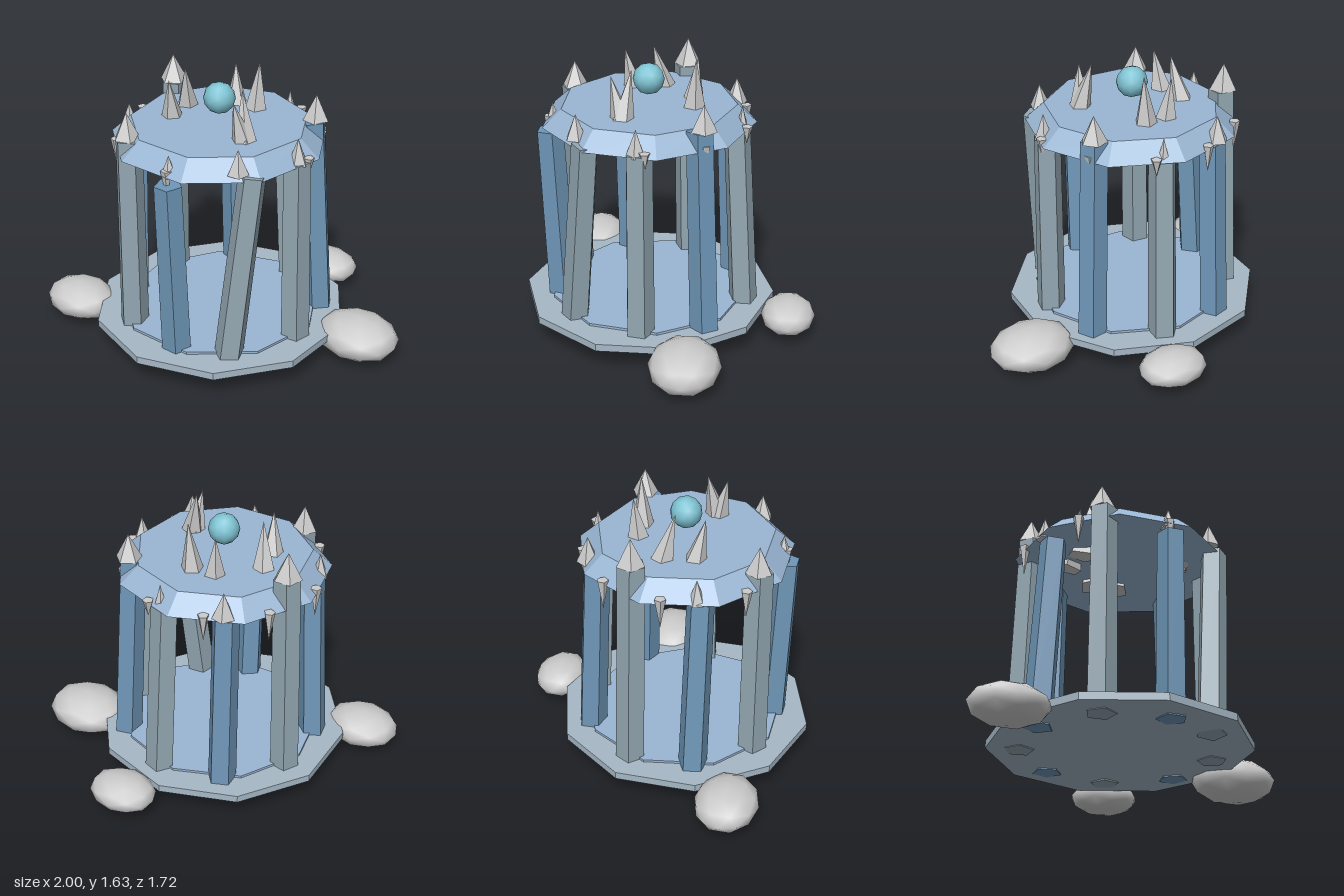
import * as THREE from 'three';

const CX = -0.04, CZ = 0.12; // axis of the pavilion
const V = (x, y, z) => new THREE.Vector3(x, y, z);
const flat = (color, more = {}) => new THREE.MeshStandardMaterial({ color, flatShading: true, ...more });

export function createModel() {
  const group = new THREE.Group();
  const grey = flat(0xcccccc);
  const blue = flat(0x6f97b8);
  const slate = flat(0x93a7b2);
  const stone = flat(0xa6b8c6);
  const ice = flat(0x9ab6d3);

  function add(name, geometry, material, x, y, z) {
    const mesh = new THREE.Mesh(geometry, material);
    mesh.name = name;
    mesh.position.set(x, y, z);
    group.add(mesh);
    return mesh;
  }

  // tapered prism running from one point to another
  function strut(name, from, to, r0, r1, sides, material, spin = 0) {
    const dir = to.clone().sub(from);
    const geo = r1 === 0
      ? new THREE.ConeGeometry(r0, dir.length(), sides)
      : new THREE.CylinderGeometry(r1, r0, dir.length(), sides);
    geo.rotateY(spin);
    const mid = from.clone().add(to).multiplyScalar(0.5);
    const mesh = add(name, geo, material, mid.x, mid.y, mid.z);
    mesh.quaternion.setFromUnitVectors(V(0, 1, 0), dir.normalize());
  }

  // base slab, raised floor and bevelled roof
  add('baseSlab', new THREE.CylinderGeometry(0.735, 0.735, 0.043, 10), stone, CX, 0.151, CZ);
  add('floor', new THREE.CylinderGeometry(0.58, 0.58, 0.02, 9).rotateY(Math.PI), ice, CX, 0.177, CZ);
  add('roof', new THREE.CylinderGeometry(0.5, 0.61, 0.1, 9).rotateY(Math.PI), ice, CX, 1.3, CZ);

  // leaning pillars: bottom x, z, top x, z, top height, material
  const pillars = [
    [0.06, 0.63, 0.06, 0.67, 1.2, blue],
    [0.33, 0.51, 0.42, 0.41, 1.27, slate],
    [0.5, 0.12, 0.49, 0.12, 1.26, slate],
    [0.41, -0.24, 0.36, -0.2, 1.35, blue],
    [0.06, -0.44, 0.04, -0.38, 1.25, slate],
    [-0.31, -0.37, -0.3, -0.32, 1.27, blue],
    [-0.56, -0.07, -0.525, -0.055, 1.41, slate],
    [-0.56, 0.29, -0.5, 0.31, 1.23, blue],
    [-0.31, 0.58, -0.3, 0.58, 1.33, slate],
  ];
  pillars.forEach(([bx, bz, tx, tz, h, mat], i) =>
    strut('pillar', V(bx, 0.125, bz), V(tx, h, tz), 0.085, 0.078, 5, mat,
      Math.PI / 5 + i * 0.7));

  // upright points above the pillars: x, z, base height, tip height, radius
  [
    [-0.53, -0.06, 1.41, 1.565, 0.08],
    [-0.31, 0.58, 1.33, 1.48, 0.075],
    [0.37, 0.47, 1.28, 1.42, 0.06],
    [0.37, -0.22, 1.35, 1.5, 0.075],
    [0.505, 0.13, 1.25, 1.4, 0.055],
    [0.05, -0.41, 1.25, 1.38, 0.035],
    [-0.31, -0.36, 1.26, 1.41, 0.065],
    [-0.55, 0.3, 1.24, 1.38, 0.05],
    [0.05, 0.65, 1.24, 1.36, 0.045],
  ].forEach(([x, z, y0, y1, r], i) =>
    strut('pillarPoint', V(x, y0, z), V(x, y1, z), r, 0, 5, grey, i));

  // tall spikes around the orb: base x, z, tip x, y, z
  [
    [-0.115, -0.12, -0.14, 1.585, -0.15],
    [0.005, -0.135, 0.03, 1.63, -0.15],
    [-0.34, 0.035, -0.285, 1.6, 0.12],
    [-0.3, 0.21, -0.265, 1.58, 0.28],
    [0.25, 0.25, 0.175, 1.61, 0.19],
    [0.23, 0.22, 0.2, 1.58, 0.3],
  ].forEach(([x, z, tx, ty, tz], i) =>
    strut('roofSpike', V(x, 1.23, z), V(tx, ty, tz), 0.09, 0, 5, grey, i * 0.5));

  // icicles hanging on the rim: x, z, tip height
  [
    [-0.615, 0.12, 1.1], [-0.51, -0.22, 1.1], [-0.22, -0.42, 1.12],
    [0.11, -0.44, 1.18], [0.54, 0.08, 1.17], [0.4, -0.23, 1.15],
    [-0.43, 0.54, 1.12], [0.05, 0.67, 1.11], [0.41, 0.41, 1.15],
  ].forEach(([x, z, tip], i) =>
    strut('icicle', V(x, 1.28, z), V(x, tip, z), 0.032, 0, 5, grey, i));

  // floating orb
  const teal = new THREE.MeshStandardMaterial({ color: 0x7fc4d4 });
  add('orb', new THREE.IcosahedronGeometry(0.09, 1), teal, CX, 1.485, CZ);

  // boulders: centre, then radii
  const rock = new THREE.MeshStandardMaterial({ color: 0xcccccc });
  [
    [0.75, 0.125, -0.155, 0.25, 0.125, 0.205],
    [-0.78, 0.127, 0.535, 0.222, 0.109, 0.181],
    [0.145, 0.128, -0.705, 0.2, 0.097, 0.158],
  ].forEach(([x, y, z, rx, ry, rz]) =>
    add('boulder', new THREE.IcosahedronGeometry(1, 1), rock, x, y, z).scale.set(rx, ry, rz));

  return group;
}
